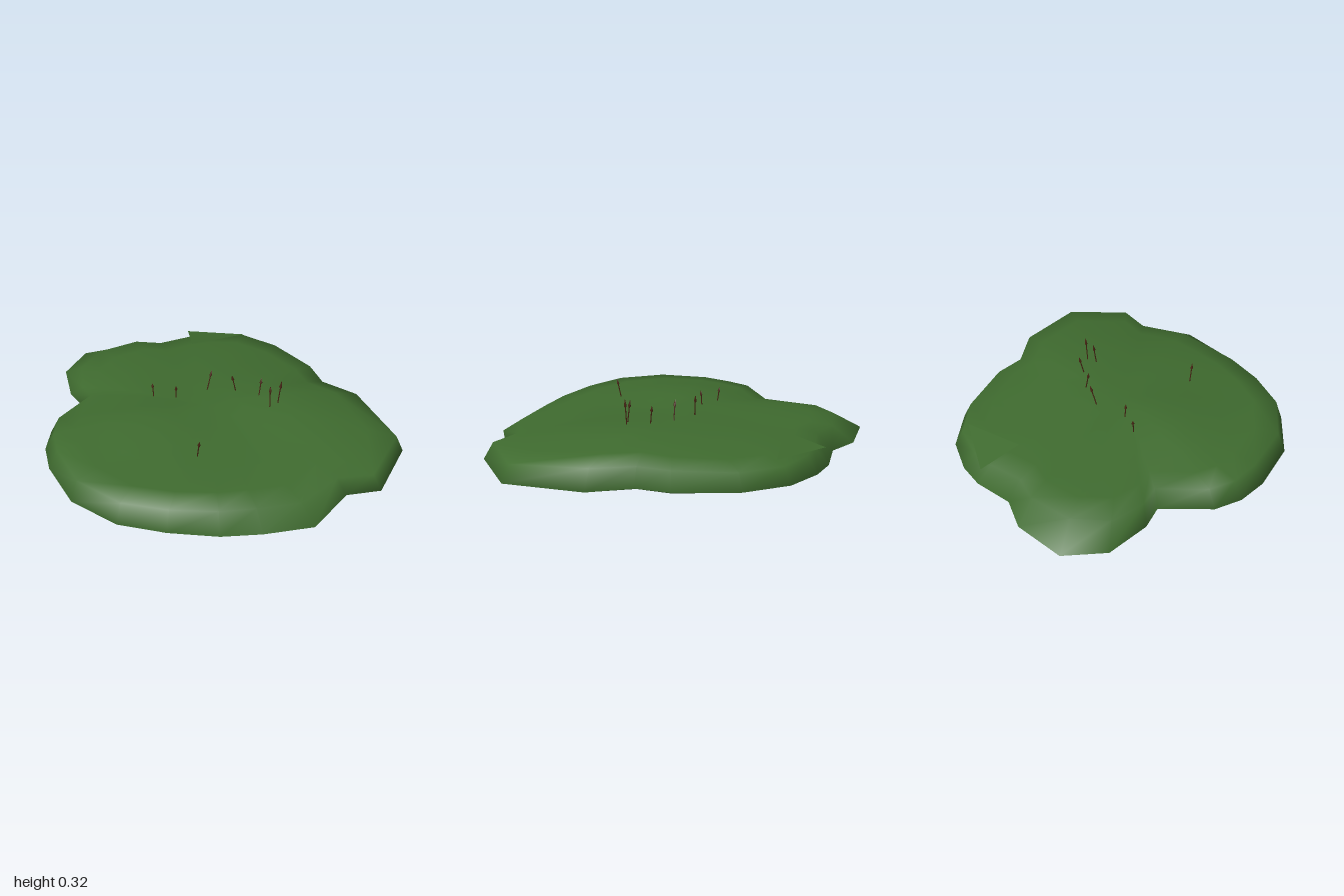
import * as THREE from 'three';
import { mergeVertices } from 'three/addons/utils/BufferGeometryUtils.js';

// Outline, clockwise from above: x, z, shoulder inset scale, shoulder height
const OUTLINE = [
  [-1, -0.23, 0.85, 0.115], [-0.83, -0.44, 0.88, 0.12], [-0.67, -0.51, 0.9, 0.115],
  [-0.55, -0.68, 0.91, 0.11], [-0.44, -0.77, 0.93, 0.11], [-0.26, -0.85, 0.95, 0.11],
  [-0.02, -0.85, 0.95, 0.11], [0.28, -0.74, 0.95, 0.12], [0.42, -0.64, 0.94, 0.12],
  [0.64, -0.61, 0.95, 0.13], [0.97, -0.38, 0.96, 0.115], [1, -0.03, 0.95, 0.11],
  [0.87, 0.09, 0.93, 0.105], [0.84, 0.37, 0.88, 0.1], [0.66, 0.54, 0.89, 0.11],
  [0.5, 0.66, 0.91, 0.12], [0.28, 0.77, 0.94, 0.13], [0.05, 0.85, 0.955, 0.135],
  [-0.23, 0.84, 0.95, 0.135], [-0.48, 0.71, 0.94, 0.13], [-0.6, 0.6, 0.94, 0.12],
  [-0.67, 0.47, 0.94, 0.12], [-0.68, 0.2, 0.92, 0.11], [-0.8, 0.15, 0.9, 0.1],
  [-0.97, -0.01, 0.87, 0.105],
];

const bump = (x, z, cx, cz, s) => Math.exp(-((x - cx) ** 2 + (z - cz) ** 2) / (s * s));
const crown = (x, z) =>
  0.158 + 0.036 * bump(x, z, -0.18, 0.28, 0.26) + 0.05 * bump(x, z, 0.46, -0.36, 0.34)
  + 0.012 * bump(x, z, 0, -0.2, 0.2);

// Height of the upper surface at fraction t between centre and shoulder
const topY = (x, z, t, shoulderY) => THREE.MathUtils.lerp(crown(x, z), shoulderY, t ** 3);
const underY = (x, z) => 0.016 - 0.015 * bump(x, z, -0.4, 0.47, 0.25) - 0.012 * bump(x, z, 0.13, -0.58, 0.25);

// Closed mound lofted through rings: underside, rim, shoulder, top
function moundGeometry() {
  const rings = [];
  for (const s of [0, 0.35, 0.65, 0.95]) {
    rings.push(OUTLINE.map(([x, z]) => [x * s, underY(x * s, z * s), z * s]));
  }
  rings.push(OUTLINE.map(([x, z]) => [x, 0.03, z]));
  for (const t of [1, 0.85, 0.65, 0.45, 0.22, 0]) {
    rings.push(OUTLINE.map(([x, z, s, h]) => {
      const px = x * s * t, pz = z * s * t;
      return [px, topY(px, pz, t, h), pz];
    }));
  }
  const n = OUTLINE.length, index = [];
  for (let r = 0; r < rings.length - 1; r++) {
    for (let i = 0; i < n; i++) {
      const j = (i + 1) % n;
      const a = r * n + i, b = r * n + j, c = a + n, d = b + n;
      if (r > 0) index.push(b, a, c);
      if (r < rings.length - 2) index.push(b, c, d);
      else index.push(b, c, c);
    }
  }
  // Drop the collapsed triangles at the top centre
  const clean = [];
  for (let k = 0; k < index.length; k += 3) {
    if (index[k + 1] !== index[k + 2]) clean.push(index[k], index[k + 1], index[k + 2]);
  }
  const g = new THREE.BufferGeometry();
  g.setAttribute('position', new THREE.Float32BufferAttribute(rings.flat(2), 3));
  g.setIndex(clean);
  const merged = mergeVertices(g, 1e-5);
  merged.computeVertexNormals();
  return merged;
}

// Small reed: base x, z and tip x, y, z
const REEDS = [
  [-0.28, 0.07, -0.29, 0.245, 0.065], [-0.17, 0.02, -0.165, 0.25, 0.025],
  [-0.07, -0.13, -0.06, 0.285, -0.165], [0.07, -0.2, 0.055, 0.28, -0.18],
  [0.2, -0.22, 0.2, 0.28, -0.245], [0.3, -0.16, 0.29, 0.3, -0.175],
  [0.32, -0.21, 0.33, 0.32, -0.22], [0.18, 0.355, 0.2, 0.26, 0.365],
];

export function createModel() {
  const leafGreen = new THREE.MeshStandardMaterial({ color: 0x3f6b2f });
  leafGreen.name = 'leafGreen';
  const reedBrown = new THREE.MeshStandardMaterial({ color: 0x4a2614 });
  reedBrown.name = 'reedBrown';

  const model = new THREE.Group();
  model.name = 'grassyMound';

  const mound = new THREE.Mesh(moundGeometry(), leafGreen);
  mound.name = 'mound';
  model.add(mound);

  // Flat sloping facet near the back edge
  const facetGeometry = new THREE.BufferGeometry();
  facetGeometry.setAttribute('position', new THREE.Float32BufferAttribute(
    [-0.22, 0.135, -0.78, -0.54, 0.115, -0.66, -0.4, 0.16, -0.49], 3));
  facetGeometry.computeVertexNormals();
  const facet = new THREE.Mesh(facetGeometry, leafGreen);
  facet.name = 'backFacet';
  model.add(facet);

  // Thin stems with pointed heads
  const profile = [[0.003, 0], [0.003, 0.68], [0.008, 0.74], [0.0005, 1]]
    .map(([r, y]) => new THREE.Vector2(r, y));
  const reedGeometry = new THREE.LatheGeometry(profile, 5);
  const up = new THREE.Vector3(0, 1, 0);
  for (const [bx, bz, tx, ty, tz] of REEDS) {
    const base = new THREE.Vector3(bx, crown(bx, bz) - 0.01, bz);
    const dir = new THREE.Vector3(tx, ty, tz).sub(base);
    const reed = new THREE.Mesh(reedGeometry, reedBrown);
    reed.name = 'reed';
    reed.position.copy(base);
    reed.scale.y = dir.length();
    reed.quaternion.setFromUnitVectors(up, dir.normalize());
    model.add(reed);
  }
  return model;
}
